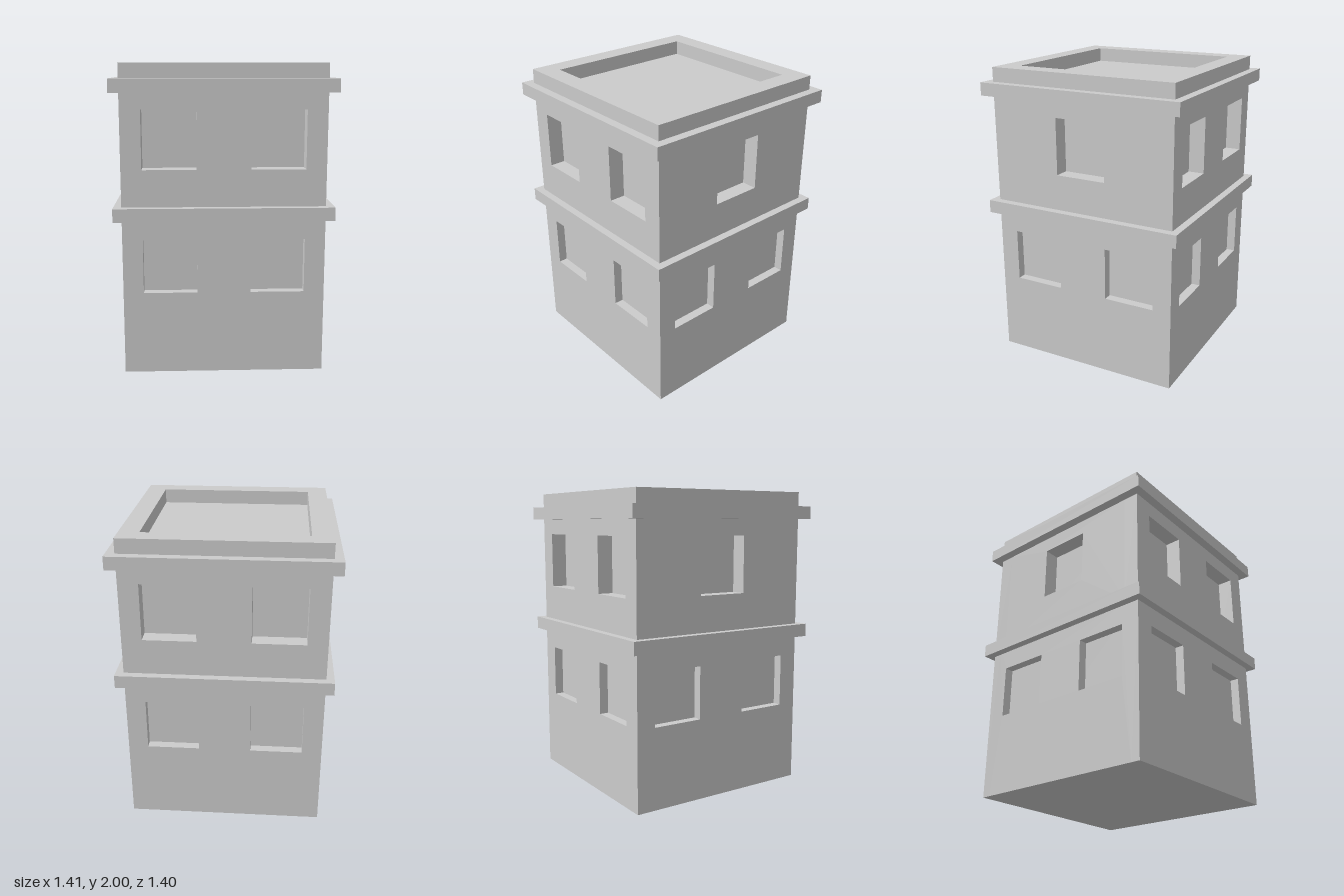
import * as THREE from 'three';

const material = new THREE.MeshStandardMaterial({ color: 0xcccccc, flatShading: true });
const HALF_X = 0.648, HALF_Z = 0.645; // outer wall faces
const WINDOW = 0.345;                 // window width

function addMesh(parent, name, geometry) {
  const mesh = new THREE.Mesh(geometry, material);
  mesh.name = name;
  parent.add(mesh);
  return mesh;
}

function addBox(parent, name, width, y0, y1, depth) {
  const box = addMesh(parent, name, new THREE.BoxGeometry(width, y1 - y0, depth));
  box.position.y = (y0 + y1) / 2;
  return box;
}

function rectangle(target, x0, y0, x1, y1) {
  target.moveTo(x0, y0).lineTo(x1, y0).lineTo(x1, y1).lineTo(x0, y1).closePath();
  return target;
}

// Upright wall slab with window openings at the given centres
function wallGeometry(half, floor, centres) {
  const shape = rectangle(new THREE.Shape(), -half, floor.y0, half, floor.y1);
  for (const c of centres) {
    shape.holes.push(rectangle(new THREE.Path(), c - WINDOW / 2, floor.sill, c + WINDOW / 2, floor.head));
  }
  return new THREE.ExtrudeGeometry(shape, { depth: floor.recess, bevelEnabled: false });
}

// One storey: four pierced walls around a core that closes the window recesses
function addStorey(parent, floor) {
  const storey = new THREE.Group();
  storey.name = floor.name;
  parent.add(storey);
  const innerX = HALF_X - floor.recess, innerZ = HALF_Z - floor.recess;
  addBox(storey, 'windowBacking', innerX * 2, floor.y0, floor.y1, innerZ * 2);
  for (const turn of [0, Math.PI]) {
    const wall = addMesh(storey, turn ? 'backWall' : 'frontWall',
      wallGeometry(HALF_X, floor, floor.frontWindows));
    wall.rotation.y = turn;
    wall.position.z = Math.cos(turn) * innerZ;

    const side = addMesh(storey, turn ? 'rightWall' : 'leftWall',
      wallGeometry(innerZ, floor, floor.sideWindows));
    side.rotation.y = turn + Math.PI / 2;
    side.position.x = Math.cos(turn) * innerX;
  }
}

export function createModel() {
  const building = new THREE.Group();
  building.name = 'building';
  const pair = [-0.345, 0.345];

  addStorey(building, {
    name: 'lowerStorey', y0: 0, y1: 1.06, sill: 0.54, head: 0.89, recess: 0.06,
    frontWindows: pair, sideWindows: pair,
  });
  addStorey(building, {
    name: 'upperStorey', y0: 1.06, y1: 1.82, sill: 1.34, head: 1.715, recess: 0.105,
    frontWindows: pair, sideWindows: [0],
  });

  // Projecting bands; the upper one also forms the sunken roof deck
  addBox(building, 'floorBand', 1.4, 1.017, 1.103, 1.39);
  addBox(building, 'cornice', 1.414, 1.82, 1.905, 1.405);

  // Parapet frame around the roof
  const frame = rectangle(new THREE.Shape(), -HALF_X, -HALF_Z, HALF_X, HALF_Z);
  frame.holes.push(rectangle(new THREE.Path(), -0.517, -0.517, 0.517, 0.517));
  const parapet = addMesh(building, 'parapet',
    new THREE.ExtrudeGeometry(frame, { depth: 0.095, bevelEnabled: false }));
  parapet.rotation.x = -Math.PI / 2;
  parapet.position.y = 1.905;

  return building;
}
